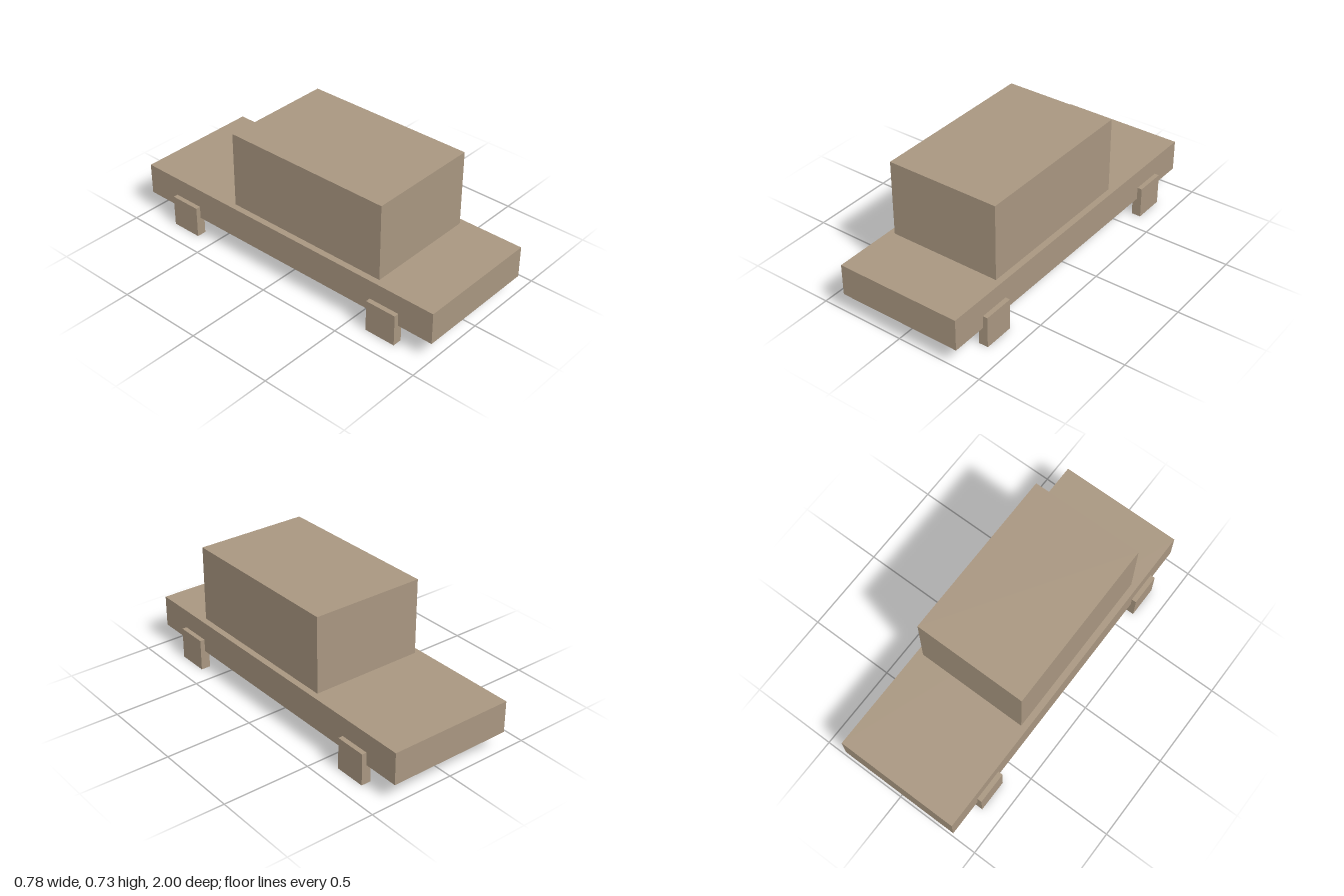
import * as THREE from 'three';

export function createModel() {
  const model = new THREE.Group();
  model.name = 'blockCar';

  const tan = new THREE.MeshStandardMaterial({ color: 0xa89680 });
  tan.name = 'tan';

  const addBox = (name, [w, h, d], [x, y, z]) => {
    const mesh = new THREE.Mesh(new THREE.BoxGeometry(w, h, d), tan);
    mesh.name = name;
    mesh.position.set(x, y, z);
    model.add(mesh);
  };

  // Long flat chassis with the cabin set forward of centre
  addBox('chassis', [0.727, 0.182, 2], [0, 0.2, 0]);
  addBox('cabin', [0.655, 0.436, 1], [0, 0.509, 0.138]);

  // Square wheels, half sunk into the chassis sides
  for (const [side, sx] of [['Left', 1], ['Right', -1]]) {
    for (const [end, sz] of [['front', 1], ['back', -1]]) {
      addBox(`${end}${side}Wheel`, [0.055, 0.182, 0.182], [sx * 0.3635, 0.091, sz * 0.7]);
    }
  }

  return model;
}
